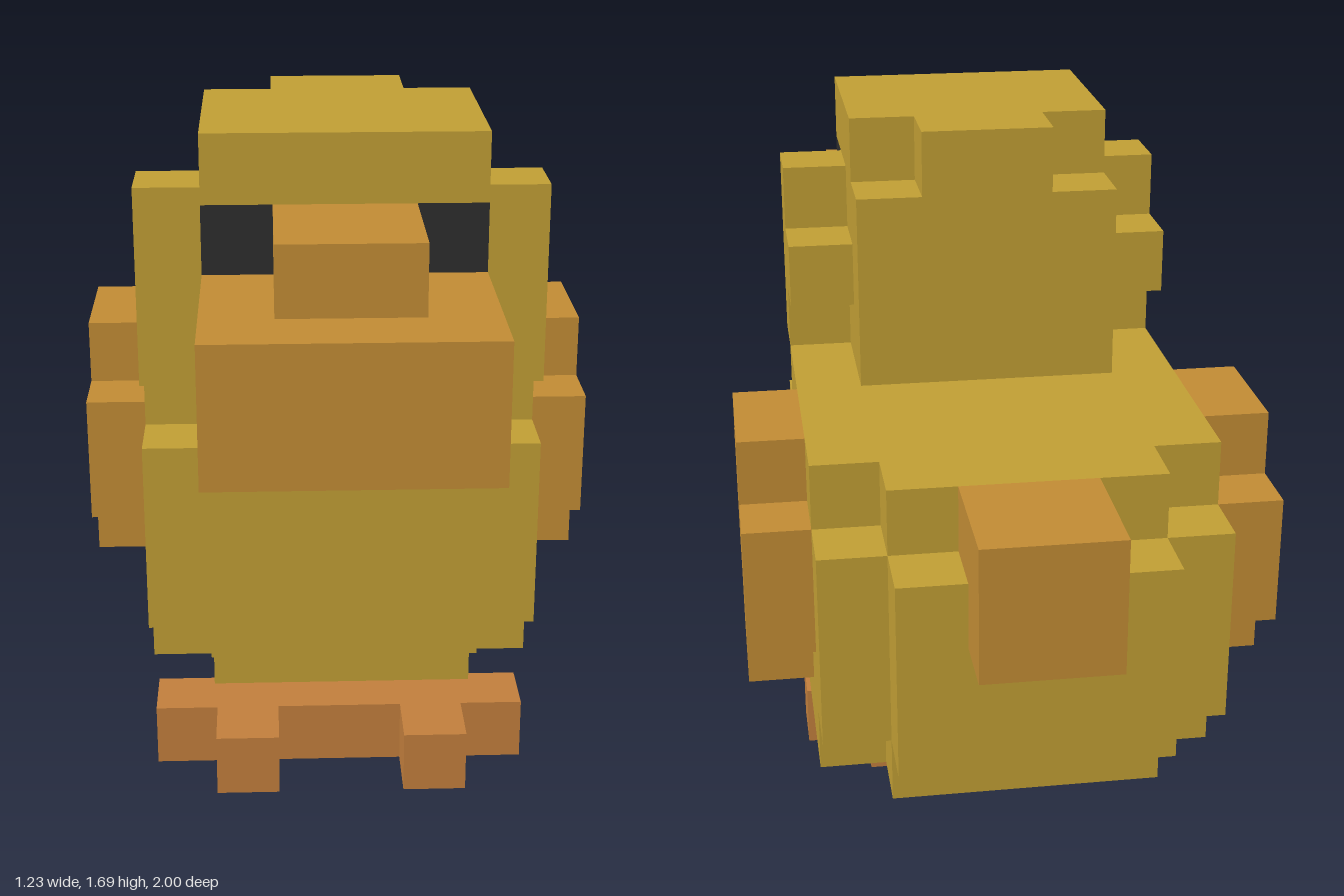
import * as THREE from 'three';

const U = 2 / 13; // edge of one block

const material = (name, color) => {
  const m = new THREE.MeshStandardMaterial({ color });
  m.name = name;
  return m;
};

export function createModel() {
  const model = new THREE.Group();
  model.name = 'blockDuck';
  const yellow = material('featherYellow', 0xc09e34);
  const orange = material('beakOrange', 0xc18b34);
  const rust = material('legRust', 0xc17e3c);
  const black = material('eyeBlack', 0x2d2d2d);

  // A named part made of boxes, each given in blocks as [x0, x1, y0, y1, z0, z1]
  const part = (name, mat, boxes) => {
    const group = new THREE.Group();
    group.name = name;
    boxes.forEach(([x0, x1, y0, y1, z0, z1], i) => {
      const geo = new THREE.BoxGeometry((x1 - x0) * U, (y1 - y0) * U, (z1 - z0) * U);
      const mesh = new THREE.Mesh(geo, mat);
      mesh.position.set((x0 + x1) * U / 2, (y0 + y1) * U / 2, (z0 + z1) * U / 2);
      mesh.name = `${name}Block${i + 1}`;
      group.add(mesh);
    });
    model.add(group);
  };

  // The same part on the left (+x) and right (-x)
  const pair = (name, mat, boxes) => {
    part(`left${name}`, mat, boxes);
    part(`right${name}`, mat, boxes.map(([x0, x1, ...rest]) => [-x1, -x0, ...rest]));
  };

  // Body: narrow core with stepped ends, and fuller sides
  part('body', yellow, [
    [-2, 2, 2, 3, -4.5, 2.5],
    [-2, 2, 3, 6, -5.5, 3.5],
    [-2, 2, 6, 7, -4.5, 3.5],
  ]);
  pair('Flank', yellow, [
    [2, 3, 2, 3, -3.5, 1.5],
    [2, 3, 3, 6, -4.5, 2.5],
    [2, 3, 6, 7, -3.5, 1.5],
  ]);

  // Head: notched at the back of the crown and hollowed for the eyes
  part('head', yellow, [
    [-2, 2, 7, 9, -0.5, 3.5],
    [-2, 2, 9, 10, -0.5, 2.5],
    [-1, 1, 9, 10, 2.5, 3.5],
    [-2, 2, 10, 11, 0.5, 3.5],
    [-1, 1, 10, 11, -0.5, 0.5],
  ]);
  pair('Cheek', yellow, [
    [2, 3, 7, 10, 1.5, 2.5],
    [2, 3, 8, 9, 0.5, 1.5],
  ]);
  pair('Eye', black, [[1, 2, 9, 10, 2.5, 3.5]]);

  // Beak with a raised bridge
  part('beak', orange, [
    [-2, 2, 7, 9, 3.5, 6.5],
    [-1, 1, 9, 10, 3.5, 5.5],
  ]);

  // Wings and tail
  pair('Wing', orange, [
    [3, 4, 3, 4, -2.5, -0.5],
    [3, 4, 4, 6, -3.5, 0.5],
    [3, 4, 6, 7, -2.5, -0.5],
  ]);
  part('tail', orange, [
    [-1, 1, 5, 7, -6.5, -5.5],
    [-1, 1, 6, 7, -5.5, -4.5],
  ]);

  // Legs, and cross-shaped feet whose inner toes meet
  pair('Leg', rust, [[1, 2, 1, 2, -0.5, 0.5]]);
  pair('Foot', rust, [
    [1, 2, 0, 1, -0.5, 0.5],
    [0, 3, 0, 1, 0.5, 1.5],
    [1, 2, 0, 1, 1.5, 2.5],
  ]);

  return model;
}
